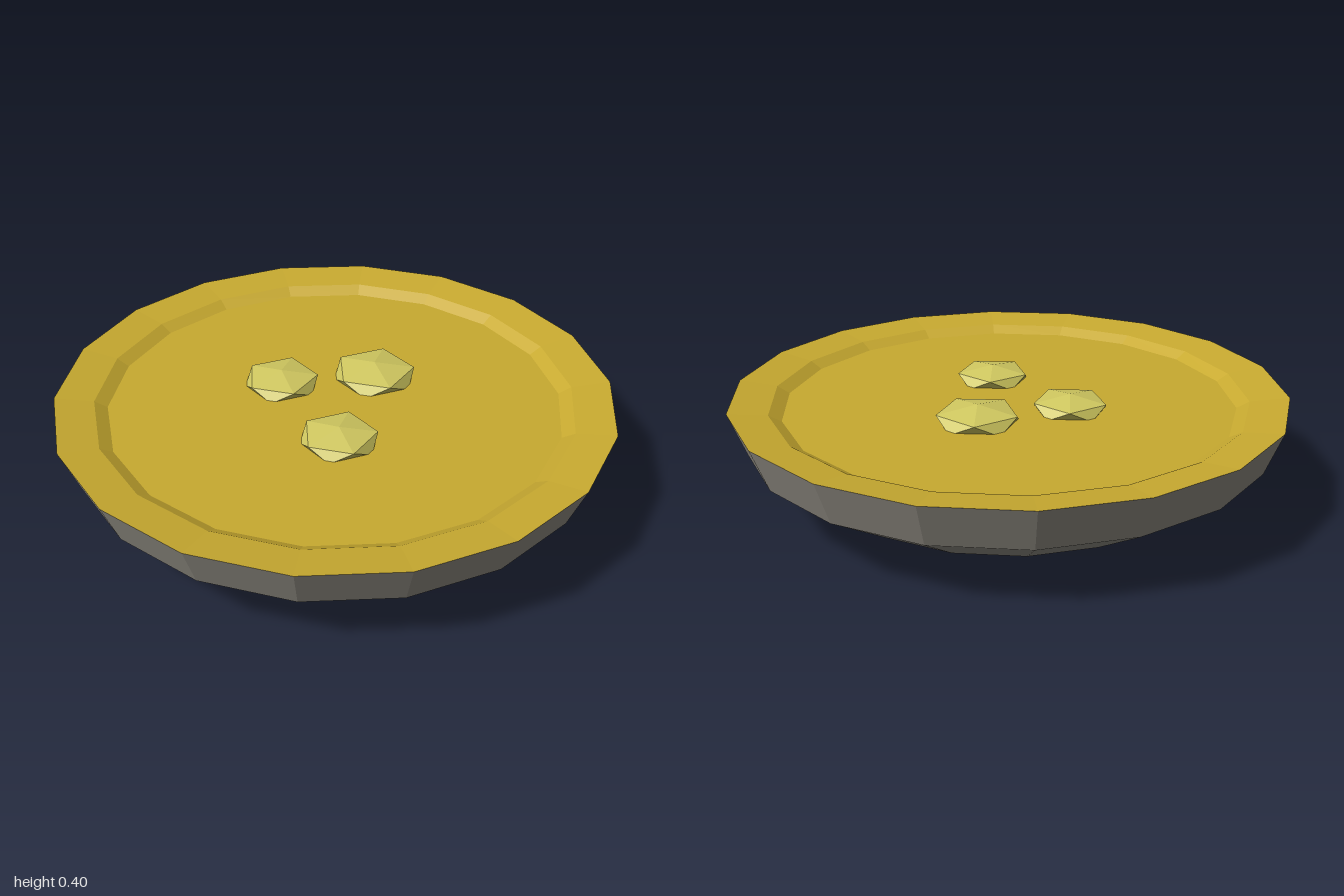
import * as THREE from 'three';

const SIDES = 18;

function material(color) {
  return new THREE.MeshStandardMaterial({ color, flatShading: true });
}

// Faceted ring surface with a corner on the x axis
function lathe(name, profile, color) {
  const points = profile.map(([r, y]) => new THREE.Vector2(r, y));
  const geometry = new THREE.LatheGeometry(points, SIDES, Math.PI / 2);
  const mesh = new THREE.Mesh(geometry, material(color));
  mesh.name = name;
  return mesh;
}

export function createModel() {
  const group = new THREE.Group();
  group.name = 'bowlOfSoup';

  // Outer shell, from the flat foot up to the lip
  group.add(lathe('bowl', [[0, 0], [0.5, 0], [0.69, 0.068], [0.94, 0.224], [1, 0.38]], 0x8f8b82));

  // Gently dished rim and the short inner slope
  group.add(lathe('rim', [[1, 0.38], [0.86, 0.362], [0.815, 0.336]], 0xc8aa30));

  // Liquid surface
  group.add(lathe('soup', [[0.815, 0.336], [0, 0.336]], 0xc8aa30));

  // Flattened chunks, each with one corner pointing up
  const chunks = [
    [-0.19, -0.13, 0.15],
    [0.155, -0.16, 0.166],
    [0, 0.25, 0.15],
  ];
  const tilt = -Math.atan(2 / (1 + Math.sqrt(5)));
  for (const [x, z, radius] of chunks) {
    const geometry = new THREE.IcosahedronGeometry(radius, 0);
    geometry.rotateZ(tilt);
    geometry.scale(1, 0.29, 1);
    const chunk = new THREE.Mesh(geometry, material(0xd0c860));
    chunk.name = 'chunk';
    chunk.position.set(x, 0.347, z);
    group.add(chunk);
  }

  return group;
}
